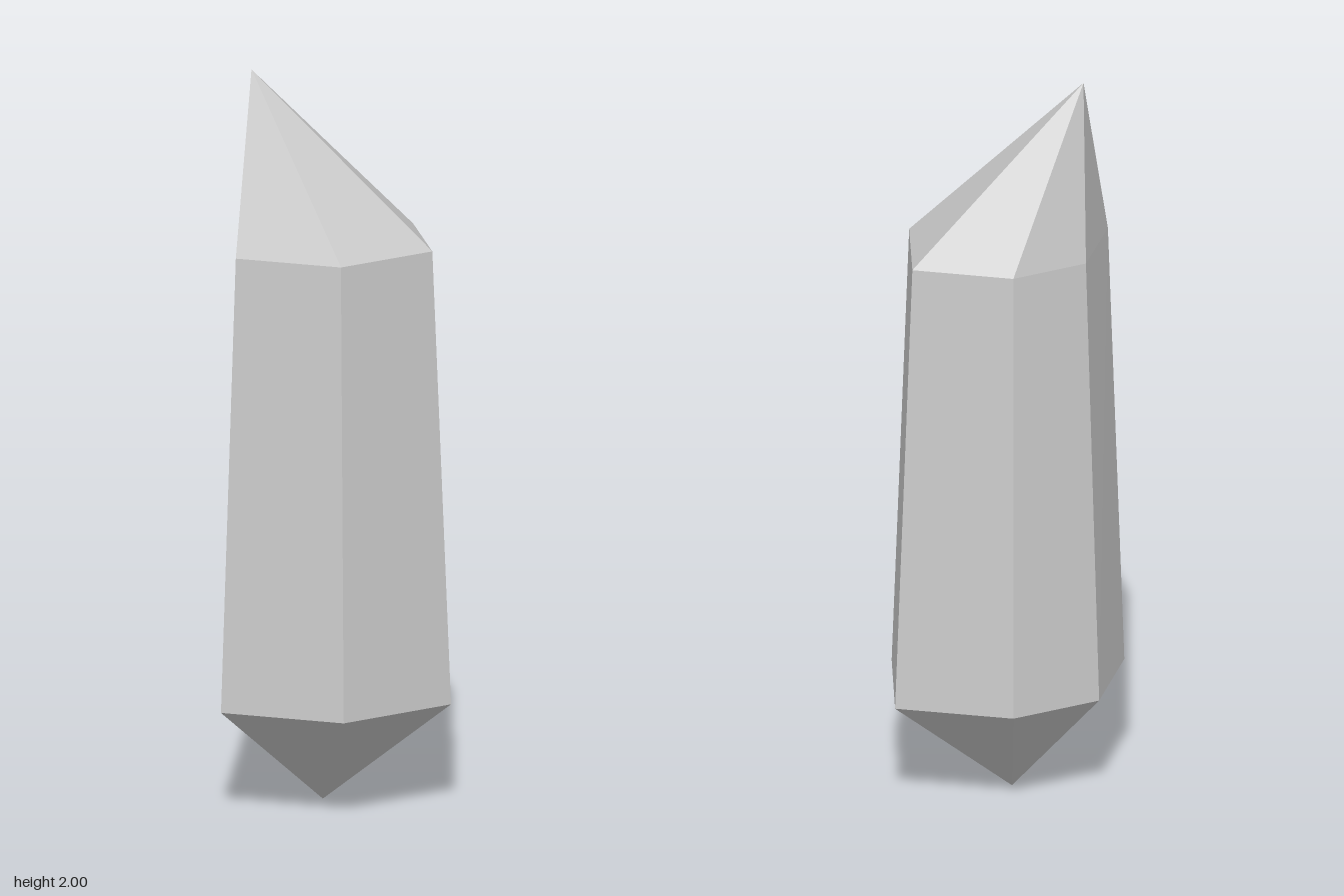
import * as THREE from 'three';

// Corner positions [x, z] around the crystal, running from +x towards +z
const lowerRing = [[0.313, 0.003], [0.12, 0.297], [-0.225, 0.306], [-0.315, 0.003], [-0.18, -0.224], [0.131, -0.31]];
const upperRing = [[0.26, 0.003], [0.095, 0.252], [-0.2, 0.261], [-0.275, 0.003], [-0.161, -0.19], [0.105, -0.262]];

const atHeight = (ring, y) => ring.map(([x, z]) => [x, y, z]);

// Faceted mesh from a list of triangles
function facets(name, triangles, material) {
  const geometry = new THREE.BufferGeometry();
  geometry.setAttribute('position', new THREE.Float32BufferAttribute(triangles.flat(2), 3));
  geometry.computeVertexNormals();
  const mesh = new THREE.Mesh(geometry, material);
  mesh.name = name;
  return mesh;
}

export function createModel() {
  const group = new THREE.Group();
  group.name = 'crystal';
  const material = new THREE.MeshStandardMaterial({ color: 0xcccccc, flatShading: true });

  const low = atHeight(lowerRing, 0.29);
  const high = atHeight(upperRing, 1.525);
  const tip = [-0.221, 2, 0.088];
  const root = [-0.05, 0, 0.005];

  const body = [], point = [], base = [];
  low.forEach((a, i) => {
    const j = (i + 1) % low.length;
    body.push([a, high[i], low[j]], [high[i], high[j], low[j]]);
    point.push([high[i], tip, high[j]]);
    base.push([a, low[j], root]);
  });

  // Tapered shaft, off-centre point and short pointed base
  group.add(
    facets('shaft', body, material),
    facets('point', point, material),
    facets('base', base, material),
  );
  return group;
}
